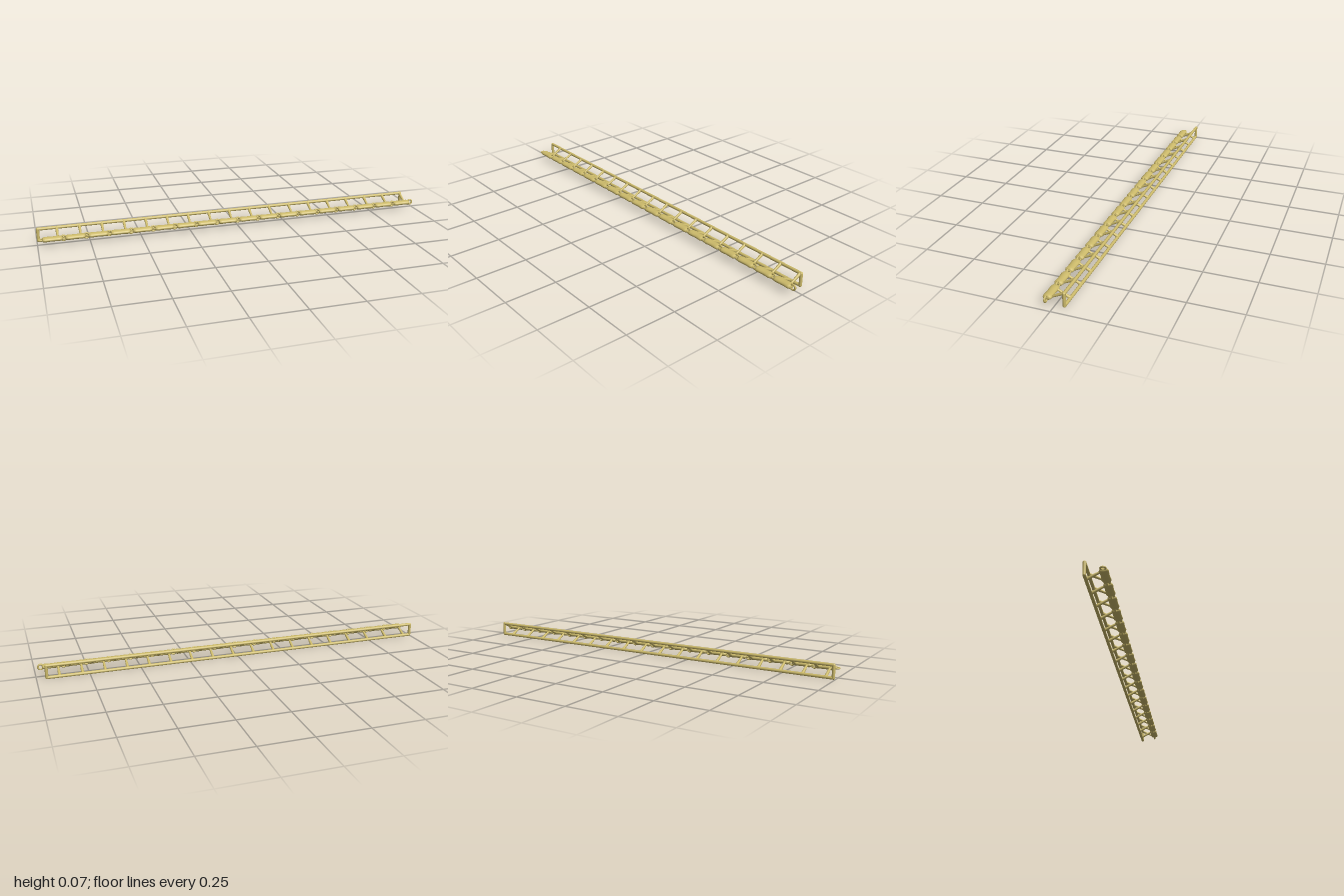
import * as THREE from 'three';

const material = new THREE.MeshStandardMaterial({ color: 0xcdbb6b, side: THREE.DoubleSide });
const PERIOD = 0.1088, COUNT = 18;
const CHAIN_Y = 0.038, CHAIN_Z = 0.031, RAIL_Z = -0.0425;
const LOW = 0.0085, HIGH = 0.0675, LEFT = 0.9525, RIGHT = -0.9925;

function add(parent, geometry, name, x = 0, y = 0, z = 0) {
  const mesh = new THREE.Mesh(geometry, material);
  mesh.name = name;
  mesh.position.set(x, y, z);
  parent.add(mesh);
  return mesh;
}

// Round bar between two points
function bar(parent, name, a, b, r0, r1 = r0) {
  const from = new THREE.Vector3(...a), to = new THREE.Vector3(...b);
  const dir = to.clone().sub(from);
  const mesh = add(parent, new THREE.CylinderGeometry(r1, r0, dir.length(), 12), name);
  mesh.position.copy(from).add(to).multiplyScalar(0.5);
  mesh.quaternion.setFromUnitVectors(new THREE.Vector3(0, 1, 0), dir.normalize());
  return mesh;
}

export function createModel() {
  const model = new THREE.Group();
  model.name = 'railWithChain';

  // Closed back frame with rounded corners
  const frame = new THREE.Group();
  frame.name = 'backFrame';
  model.add(frame);
  for (const y of [LOW, HIGH]) {
    bar(frame, 'rail', [RIGHT, y, RAIL_Z], [LEFT, y, RAIL_Z], 0.0075);
    for (const x of [RIGHT, LEFT]) add(frame, new THREE.SphereGeometry(0.0075, 12, 8), 'corner', x, y, RAIL_Z);
  }
  for (const x of [RIGHT, LEFT]) bar(frame, 'endPost', [x, LOW, RAIL_Z], [x, HIGH, RAIL_Z], 0.0075);

  // Flattened barrel with a slight waist, and the eyelets at its ends
  const profile = [[0, -0.047], [0.013, -0.047], [0.018, -0.043], [0.021, -0.033], [0.0195, -0.015],
    [0.019, 0], [0.0195, 0.015], [0.021, 0.033], [0.018, 0.043], [0.013, 0.047], [0, 0.047]]
    .map(([r, h]) => new THREE.Vector2(r, h));
  const barrel = new THREE.LatheGeometry(profile, 16).rotateZ(-Math.PI / 2).scale(1, 0.58, 1);
  const eyelet = new THREE.TorusGeometry(0.0125, 0.0045, 8, 20);
  const flatEyelet = new THREE.TorusGeometry(0.011, 0.004, 8, 20).rotateX(Math.PI / 2);

  for (let i = 0; i < COUNT; i++) {
    const x = -0.93 + i * PERIOD;
    const link = new THREE.Group();
    link.name = 'chainLink';
    link.position.set(x, CHAIN_Y, CHAIN_Z);
    add(link, barrel, 'linkBody');
    add(link, eyelet, 'uprightEyelet', 0.053);
    add(link, flatEyelet, 'flatEyelet', -0.054);
    model.add(link);

    // Struts go alternately to the lower and the upper rail
    const lowX = -0.957 + i * PERIOD, highX = lowX + PERIOD / 2;
    bar(model, 'lowerStrut', [lowX, LOW, RAIL_Z], [lowX, CHAIN_Y, 0.014], 0.0075, 0.005);
    bar(model, 'upperStrut', [highX, HIGH, RAIL_Z], [highX, CHAIN_Y, 0.014], 0.0075, 0.005);
  }
  return model;
}
